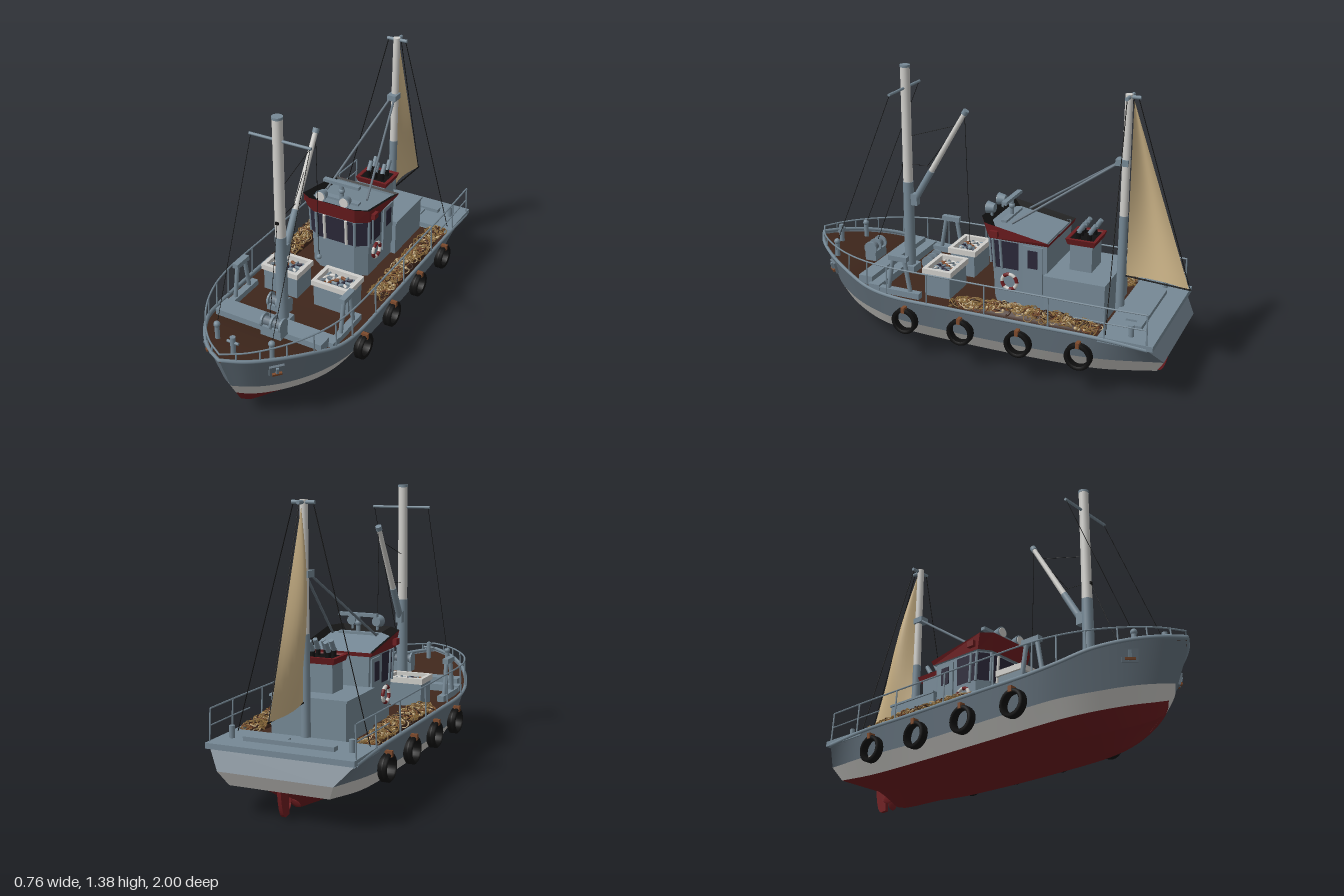
import * as THREE from 'three';
import { mergeGeometries } from 'three/addons/utils/BufferGeometryUtils.js';

const mat = (name, color, side = THREE.DoubleSide) => Object.assign(new THREE.MeshStandardMaterial({ color, side }), { name });
const M = {
  hull: mat('slate hull paint', 0x66747f), grey: mat('blue grey paint', 0x768996), white: mat('off white paint', 0xd0cfcb),
  red: mat('dark red paint', 0x6f1d20), deck: mat('brown deck', 0x3f271c), black: mat('black rubber', 0x101010),
  sail: mat('tan canvas', 0xcbb387), glass: mat('dark glass', 0x2b2839), net: mat('ochre net', 0x94723f), rust: mat('rust brown', 0x7d4a2c)
};
const V = (x, y, z) => new THREE.Vector3(x, y, z);

// Longitudinal hull lines from stern to bow: [x, y, z]
const KEEL = [[0, .115, -.84], [0, .016, -.755], [0, .01, -.3], [0, .004, .1], [0, .003, .38], [0, .003, .5], [0, .004, .6], [0, .008, .68], [0, .022, .74], [0, .05, .79]];
const BILGE = [[.12, .12, -.87], [.13, .062, -.7], [.155, .05, -.3], [.155, .046, .1], [.148, .047, .385], [.125, .05, .52], [.09, .058, .65], [.052, .07, .76], [.022, .085, .82], [0, .105, .855]];
const WATER = [[.24, .132, -.915], [.27, .1, -.65], [.28, .09, -.3], [.28, .09, .1], [.27, .095, .385], [.245, .105, .525], [.19, .12, .66], [.115, .137, .78], [.05, .15, .85], [0, .163, .888]];
const BAND = [[.275, .2, -.955], [.322, .178, -.65], [.328, .165, -.3], [.328, .165, .1], [.318, .17, .39], [.29, .18, .53], [.232, .19, .67], [.15, .207, .8], [.07, .22, .88], [0, .23, .925]];
const SHEER = [[.35, .285, -.89], [.355, .3, -.65], [.355, .3, -.3], [.355, .3, .1], [.352, .303, .4], [.332, .322, .55], [.278, .365, .7], [.19, .395, .84], [.095, .412, .94], [0, .425, 1]];
const N = 54;
const sample = line => {
  const c = new THREE.CatmullRomCurve3(line.map(p => V(...p)));
  return Array.from({ length: N + 1 }, (_, i) => c.getPoint(i / N)).map(p => (p.x = Math.max(0, p.x), p));
};
const flip = pts => pts.map(p => V(-p.x, p.y, p.z));

export function createModel() {
  const root = new THREE.Group();
  root.name = 'fishingBoat';
  const add = (name, geo, m, x = 0, y = 0, z = 0) => {
    const o = new THREE.Mesh(geo, m);
    o.name = name; o.position.set(x, y, z); root.add(o);
    return o;
  };
  const box = (name, m, w, h, d, x, y, z) => add(name, new THREE.BoxGeometry(w, h, d), m, x, y, z);
  const rod = (name, m, a, b, r, r2 = r, n = 10) => {
    const dir = b.clone().sub(a);
    const o = add(name, new THREE.CylinderGeometry(r2, r, dir.length(), n), m);
    o.position.copy(a).addScaledVector(dir, .5);
    o.quaternion.setFromUnitVectors(V(0, 1, 0), dir.normalize());
    return o;
  };
  const wire = (name, a, b, r = .0014) => rod(name, M.black, a, b, r, r, 5);
  const ball = (name, m, r, x, y, z) => add(name, new THREE.SphereGeometry(r, 14, 10), m, x, y, z);
  // Surface through rows of points with equal counts
  const surface = (name, rows, m, flat = false, closed = false) => {
    const w = rows[0].length, idx = [];
    for (let r = 0; r + 1 < rows.length; r++) for (let i = 0; i < (closed ? w : w - 1); i++) {
      const a = r * w + i, b = r * w + (i + 1) % w;
      idx.push(a, a + w, b, b, a + w, b + w);
    }
    let g = new THREE.BufferGeometry().setFromPoints(rows.flat());
    g.setIndex(idx);
    if (flat) g = g.toNonIndexed();
    g.computeVertexNormals();
    return add(name, g, m);
  };

  // Hull shell and transom, painted in bands
  const lines = [KEEL, BILGE, WATER, BAND, SHEER].map(sample), sheer = lines[4];
  [['bottom', M.red], ['bilge', M.red], ['whiteBand', M.white], ['topside', M.hull]].forEach(([n, m], k) => {
    const a = lines[k], b = lines[k + 1];
    surface(n + 'Left', [a, b], m);
    surface(n + 'Right', [flip(b), flip(a)], m);
    surface(n + 'Transom', [[a[0], flip(a)[0]], [b[0], flip(b)[0]]], m);
  });
  // Decks, gunwale and stern platform
  const inner = sheer.map(p => V(Math.max(0, p.x - .008), p.y - .014, p.z));
  const cut = inner.findIndex(p => p.z > -.66);
  const aft = inner.slice(0, cut + 1), fore = inner.slice(cut);
  surface('aftDeck', [aft, flip(aft)], M.grey);
  surface('mainDeck', [fore, flip(fore)], M.deck);
  const around = h => [...flip(sheer).map(h), ...sheer.slice(0, -1).reverse().map(h)];
  const pipe = (name, pts, r) => add(name, new THREE.TubeGeometry(new THREE.CatmullRomCurve3(pts), pts.length * 2, r, 6), M.grey);
  pipe('gunwale', around(p => p.clone()), .009);
  box('sternPlatform', M.grey, .71, .026, .26, 0, .296, -.79);
  box('sternBench', M.grey, .44, .022, .035, 0, .318, -.81);
  box('sternHatch', M.grey, .11, .012, .06, .09, .313, -.76);

  // Guard rail and stanchions
  pipe('topRail', around(p => V(p.x * .985, .455, p.z * .995)), .0045);
  sheer.forEach((p, i) => {
    if (i % 5 === 0) for (const s of [-1, 1]) rod('railPost', M.grey, p.clone().setX(p.x * s), V(p.x * s * .985, .455, p.z * .995), .004, .004, 6);
  });
  const aftRail = sheer.filter(p => p.z < -.5).map(p => V(p.x * .985, .38, p.z));
  pipe('aftMidRailLeft', aftRail, .0035);
  pipe('aftMidRailRight', flip(aftRail), .0035);

  // Foredeck step
  box('foredeckStep', M.grey, .63, .04, .06, 0, .313, .52);
  box('foredeckBulkhead', M.grey, .58, .06, .075, 0, .328, .58);

  // Wheelhouse
  const plan = (w, zb, zf, y, c = .04, k = .06) =>
    [[w, zb], [w, zf - c], [w - k, zf], [k - w, zf], [-w, zf - c], [-w, zb]].map(([x, z]) => V(x, typeof y === 'function' ? y(z) : y, z));
  surface('wheelhouseWalls', [plan(.158, -.34, -.045, .285), plan(.166, -.34, -.025, .64)], M.grey, true, true);
  surface('wheelhouseWindows', [plan(.166, -.195, -.03, .475), plan(.169, -.195, -.02, .615)], M.glass, true);
  const roofY = z => .708 + .18 * z;
  const bandFoot = plan(.178, -.35, -.01, .625), rim = plan(.188, -.355, .012, roofY);
  surface('roofBand', [bandFoot, rim], M.red, true, true);
  const roof = plan(.155, -.345, -.03, z => roofY(z) - .018);
  surface('roofGutter', [rim, roof], M.black, true, true);
  surface('roofPanel', [roof.slice(0, 3), roof.slice(3).reverse()], M.grey, true);
  surface('roofUnderside', [bandFoot.slice(0, 3), bandFoot.slice(3).reverse()], M.grey, true);
  box('roofHatch', M.grey, .2, .012, .03, 0, .687, -.09);
  for (const s of [-1, 1]) {
    rod('frontMullion', M.white, V(s * .062, .475, -.028), V(s * .062, .615, -.018), .008);
    rod('cornerMullion', M.grey, V(s * .108, .47, -.03), V(s * .11, .62, -.02), .008);
    rod('rearCornerMullion', M.grey, V(s * .167, .47, -.072), V(s * .17, .62, -.062), .007);
    rod('sideMullion', M.grey, V(s * .168, .47, -.11), V(s * .17, .62, -.1), .007);
    box('door', M.grey, .012, .24, .1, s * .166, .49, -.27);
    box('doorWindow', M.glass, .006, .09, .05, s * .173, .545, -.27);
    box('navigationLight', M.red, .02, .03, .04, s * .192, .655, -.08);
    // Life ring in white and red sections
    for (let q = 0; q < 8; q++) {
      const g = new THREE.TorusGeometry(.038, .009, 8, 6, Math.PI / 4);
      g.rotateZ(q * Math.PI / 4).rotateY(Math.PI / 2);
      add('lifeRing', g, q % 2 ? M.white : M.red, s * .17, .41, -.15);
    }
    // Searchlights
    rod('searchlight', M.grey, V(s * .066, .735, -.03), V(s * .066, .735, .01), .022, .031, 18);
    rod('searchlightLens', M.white, V(s * .066, .735, .01), V(s * .066, .735, .014), .024, .024, 18);
    rod('searchlightStand', M.grey, V(s * .066, .68, -.012), V(s * .066, .72, -.012), .007);
  }
  rod('radarPost', M.grey, V(0, .68, -.09), V(0, .77, -.09), .011);
  box('radarBar', M.grey, .2, .016, .025, 0, .776, -.09);
  ball('radarDome', M.grey, .016, 0, .735, -.09);

  // Engine casing and funnel
  box('engineCasing', M.grey, .37, .19, .3, 0, .38, -.485);
  box('casingLid', M.grey, .385, .01, .305, 0, .477, -.485);
  surface('funnelWalls', [plan(.07, -.53, -.42, .48, 0, 0), plan(.07, -.53, -.42, .63, 0, 0)], M.grey, true, true);
  surface('funnelBand', [plan(.08, -.54, -.41, .615, 0, 0), plan(.09, -.55, -.4, .645, 0, 0), plan(.073, -.535, -.415, .645, 0, 0)], M.red, true, true);
  box('funnelWell', M.black, .15, .006, .125, 0, .634, -.475);
  for (const [x, z] of [[-.04, -.45], [0, -.45], [.04, -.45], [-.04, -.505], [.04, -.505]]) {
    rod('exhaustPipe', M.black, V(x, .62, z), V(x, .675, z), .012);
    rod('exhaustTip', M.grey, V(x, .668, z), V(x, .715, z - .03), .0125, .0115);
  }

  // Fore mast, crossbar and cargo boom
  rod('foreMastLower', M.grey, V(0, .29, .48), V(0, .78, .48), .029, .027, 18);
  rod('foreMastUpper', M.white, V(0, .78, .48), V(0, 1.37, .48), .025, .024, 18);
  rod('foreMastCap', M.grey, V(0, 1.368, .48), V(0, 1.38, .48), .026, .026, 18);
  box('foreMastFoot', M.grey, .08, .04, .08, 0, .31, .48);
  rod('crossbar', M.grey, V(-.148, 1.265, .48), V(.168, 1.265, .48), .007);
  box('mastCleat', M.black, .016, .014, .01, 0, .86, .505);
  const at = t => V(0, .685 + .495 * t, .445 - .29 * t);
  rod('boomLower', M.grey, at(0), at(.34), .018, .017);
  rod('boomUpper', M.white, at(.34), at(1), .015, .012);
  rod('boomHead', M.grey, at(.97), at(1.01), .016);
  box('boomPivot', M.grey, .035, .06, .05, 0, .69, .45);
  wire('boomTopLift', V(0, 1.02, .46), at(.85));
  wire('boomMidLift', V(0, .87, .46), at(.4));
  wire('boomBrace', at(.85), at(.38).setZ(.37));
  wire('hoistCable', at(.98), V(0, .49, .137));
  ball('hoistHook', M.grey, .013, 0, .475, .137);
  wire('winchCable', V(0, .86, .505), V(.04, .44, .65));
  for (const [x, bx] of [[-.14, -.135], [.162, .158]]) {
    wire('foreStay', V(x, 1.262, .48), V(bx, .46, .815));
    rod('stayBollard', M.grey, V(bx, .37, .82), V(bx, .45, .82), .012);
    ball('bollardHead', M.grey, .016, bx, .455, .82);
  }
  rod('bowBollard', M.grey, V(0, .38, .89), V(0, .48, .89), .013);
  rod('bowBollardPin', M.grey, V(-.03, .45, .89), V(.03, .45, .89), .007);

  // Deck winches
  for (const [x, y, z] of [[.06, .425, .65], [-.075, .335, .39]]) {
    box('winchBase', M.grey, .11, .05, .06, x, y - .04, z);
    rod('winchDrum', M.hull, V(x - .05, y, z), V(x + .05, y, z), .022, .022, 14);
    for (const s of [-1, 0, 1]) rod('winchFlange', M.grey, V(x + s * .05 - .005, y, z), V(x + s * .05 + .005, y, z), .036, .036, 16);
  }

  // Aft mast, struts, sail
  rod('aftMastLower', M.grey, V(0, .29, -.655), V(0, .77, -.655), .022, .021, 14);
  rod('aftMastUpper', M.white, V(0, .77, -.655), V(0, 1.35, -.655), .02, .018, 14);
  rod('aftMastCrosspiece', M.grey, V(-.055, 1.338, -.66), V(.055, 1.338, -.66), .009);
  rod('aftMastBracket', M.grey, V(0, 1.338, -.65), V(0, 1.338, -.71), .009);
  box('strutCollar', M.grey, .05, .03, .06, 0, 1.03, -.64);
  const sail = new THREE.PlaneGeometry(1, 1, 12, 16), P = sail.attributes.position;
  for (let i = 0; i < P.count; i++) {
    const u = P.getX(i) + .5, v = P.getY(i) + .5;
    P.setXYZ(i, -.058 * Math.sin(Math.PI * u) * Math.sin(Math.PI * (.12 + .88 * v)), .47 + .85 * v - .02 * u * (1 - v), -.68 - .305 * u * (1 - v));
  }
  sail.computeVertexNormals();
  add('sail', sail, M.sail);
  wire('sailFootRope', V(0, .468, -.66), V(0, .45, -.995), .004);
  wire('sailLeechRope', V(0, 1.335, -.7), V(0, .45, -.99), .002);
  for (const s of [-1, 1]) {
    rod('mastStrut', M.hull, V(s * .01, 1.03, -.63), V(s * .115, .69, -.14), .006);
    wire('aftStay', V(s * .048, 1.335, -.66), V(s * .325, .31, -.69), .0022);
    rod('sternBollard', M.grey, V(s * .29, .3, -.8), V(s * .29, .365, -.8), .013);

    // Gallows frames
    for (const z of [.32, .45]) rod('gallowsLeg', M.grey, V(s * .295, .29, z), V(s * .295, .49, z > .4 ? .415 : .355), .011);
    box('gallowsTop', M.grey, .03, .025, .1, s * .295, .49, .385);
    box('gallowsBase', M.grey, .035, .03, .22, s * .295, .308, .38);

    // Fish bins
    box('fishBin', M.grey, .19, .115, .135, s * .143, .347, .205);
    for (const k of [-1, 1]) {
      box('binRimSide', M.white, .02, .028, .155, s * .143 + k * .094, .42, .205);
      box('binRimEnd', M.white, .205, .028, .02, s * .143, .42, .205 + k * .068);
    }
    for (let i = 0; i < 32; i++) {
      const f = ball('fish', [M.grey, M.white, M.hull, M.white, M.rust, M.grey, M.glass][i % 7], .019, s * .143 - .07 + (i % 8) * .02, .411, .165 + Math.floor(i / 8) * .027);
      f.scale.set(.4, .45, 1.15); f.rotation.y = i * 1.9;
    }

    // Tyre fenders with a grooved tread
    for (const z of [.327, .027, -.273, -.574]) {
      const profile = [[.047, -.018], [.058, -.023], [.066, -.016], [.066, -.004], [.06, 0], [.066, .004], [.066, .016], [.058, .023], [.047, .018], [.047, -.018]];
      const g = new THREE.LatheGeometry(profile.map(p => new THREE.Vector2(...p)), 24);
      add('tyreFender', g.rotateZ(Math.PI / 2), M.black, s * .355, .19, z);
      box('fenderRope', M.rust, .046, .028, .018, s * .357, .253, z);
    }

    // Anchors on the bow
    const anchor = new THREE.Group();
    anchor.name = 'anchor';
    anchor.position.set(s * .185, .325, .828);
    anchor.rotation.set(0, s > 0 ? -.72 : .72 + Math.PI, -.25, 'YZX');
    root.add(anchor);
    anchor.add(
      box('anchorPlate', M.hull, .012, .058, .07, 0, 0, 0),
      box('anchorShank', M.grey, .016, .045, .012, .008, .002, 0),
      box('anchorFluke', M.rust, .016, .012, .045, .009, -.014, 0));
  }

  // Net heaps: mound covered in tangled loops and floats
  let seed = 7;
  const rnd = () => (seed = (seed * 16807) % 2147483647) / 2147483647;
  const netColours = [M.net, M.deck, M.rust, M.sail];
  for (const s of [-1, 1]) {
    ball('netMound', M.deck, 1, s * .295, .285, -.27).scale.set(.042, .05, .37);
    const sets = netColours.map(() => []);
    for (let i = 0; i < 380; i++) {
      const a = rnd() * 2 - 1, b = rnd() * 2 - 1, isFloat = i % 6 === 5;
      const g = isFloat ? new THREE.SphereGeometry(.008, 7, 5) : new THREE.TorusGeometry(.011 + rnd() * .014, .0028, 4, 8);
      g.rotateX(Math.PI / 2 + (rnd() - .5) * 1.6).rotateZ((rnd() - .5) * 1.6);
      g.translate(s * .295 + b * .037, .292 + .056 * (1 - b * b * .5) * Math.sqrt(1 - a * a * .8), -.275 + a * .365);
      sets[isFloat ? 3 : [0, 1, 0, 2, 0, 3, 0][i % 7]].push(g);
    }
    sets.forEach((set, k) => add('netLoops', mergeGeometries(set), netColours[k]));
  }

  // Rudder and propeller
  const rs = new THREE.Shape();
  rs.moveTo(-.845, .17);
  rs.lineTo(-.835, .012);
  rs.lineTo(-.87, .008);
  rs.quadraticCurveTo(-.905, .02, -.915, .17);
  add('rudder', new THREE.ExtrudeGeometry(rs, { depth: .018, bevelEnabled: false }).rotateY(-Math.PI / 2), M.red, .009);
  rod('propellerShaft', M.red, V(0, .066, -.7), V(0, .066, -.82), .012);
  for (let i = 0; i < 4; i++) {
    const g = new THREE.SphereGeometry(1, 10, 8).scale(.02, .026, .004).rotateY(.5).translate(0, .03, 0).rotateZ(i * Math.PI / 2 + .4);
    add('propellerBlade', g, M.red, 0, .066, -.808);
  }
  return root;
}
